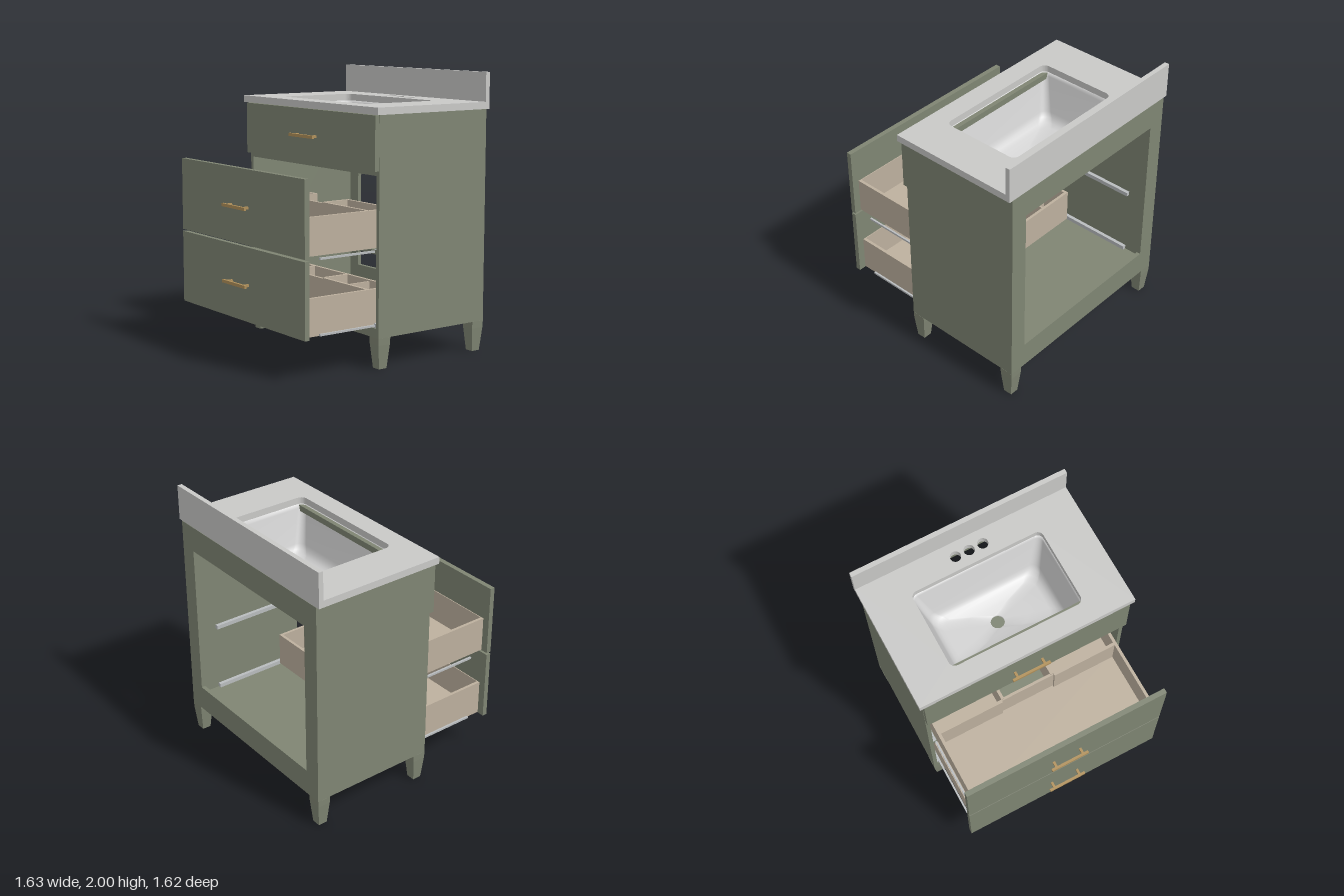
import * as THREE from 'three';

const mat = (name, color, side = THREE.FrontSide) => {
  const m = new THREE.MeshStandardMaterial({ color, side });
  m.name = name;
  return m;
};

// Outline of a rounded rectangle as [x, z] points; equal half sizes and radius give a circle
function roundedLoop(hx, hz, r, steps = 8) {
  const pts = [];
  [[1, 1], [-1, 1], [-1, -1], [1, -1]].forEach(([sx, sz], q) => {
    for (let i = 0; i <= steps; i++) {
      const a = (q + i / steps) * Math.PI / 2;
      pts.push([sx * (hx - r) + r * Math.cos(a), sz * (hz - r) + r * Math.sin(a)]);
    }
  });
  return pts;
}

export function createModel() {
  const model = new THREE.Group();
  model.name = 'vanity';
  const green = mat('sage paint', 0x7f8573);
  const stone = mat('pale stone', 0xc9c9c7);
  const ceramic = mat('white ceramic', 0xd2d2d2, THREE.DoubleSide);
  const wood = mat('pale wood', 0xbdb09e);
  const brass = mat('brass', 0xb0905a);
  const steel = mat('steel', 0xb9bcbe);

  // Box given by its limits on each axis
  const box = (parent, name, m, x0, x1, y0, y1, z0, z1) => {
    const mesh = new THREE.Mesh(new THREE.BoxGeometry(x1 - x0, y1 - y0, z1 - z0), m);
    mesh.position.set((x0 + x1) / 2, (y0 + y1) / 2, (z0 + z1) / 2);
    mesh.name = name;
    parent.add(mesh);
    return mesh;
  };
  const group = (name) => {
    const g = new THREE.Group();
    g.name = name;
    model.add(g);
    return g;
  };

  // Cabinet carcass
  const cabinet = group('cabinet');
  for (const s of [-1, 1]) {
    const span = (a, b) => (s > 0 ? [a, b] : [-b, -a]);
    box(cabinet, 'sidePanel', green, ...span(0.755, 0.785), 0.22, 1.74, -0.81, 0.145);
    box(cabinet, 'backStile', green, ...span(0.655, 0.755), 0.22, 1.74, -0.81, -0.78);
    for (const y of [0.287, 0.8]) {
      box(cabinet, 'drawerSlide', steel, ...span(0.728, 0.755), y, y + 0.03, -0.6, 0.14);
      box(cabinet, 'slideExtension', steel, ...span(0.728, 0.742), y + 0.008, y + 0.022, 0.14, 0.6);
    }
  }
  box(cabinet, 'backTopRail', green, -0.655, 0.655, 1.55, 1.74, -0.81, -0.78);
  box(cabinet, 'backBottomRail', green, -0.655, 0.655, 0.22, 0.41, -0.81, -0.78);
  box(cabinet, 'floorPanel', green, -0.755, 0.755, 0.22, 0.285, -0.78, 0.145);
  box(cabinet, 'frontTopRail', green, -0.755, 0.755, 1.69, 1.735, 0, 0.145);
  box(cabinet, 'upperFrontRail', green, -0.755, 0.755, 1.33, 1.365, 0.03, 0.145);
  box(cabinet, 'middleFrontRail', green, -0.755, 0.755, 0.797, 0.827, 0.03, 0.145);

  // Tapered square legs
  const h = Math.SQRT2;
  const legGeo = new THREE.LatheGeometry([
    [0, 0], [0.033 * h, 0], [0.049 * h, 0.17], [0.051 * h, 0.22], [0, 0.22],
  ].map(([x, y]) => new THREE.Vector2(x, y)), 4).toNonIndexed();
  legGeo.rotateY(Math.PI / 4);
  legGeo.computeVertexNormals();
  for (const x of [-0.735, 0.735]) {
    for (const z of [-0.759, 0.094]) {
      const leg = new THREE.Mesh(legGeo, green);
      leg.name = 'leg';
      leg.position.set(x, 0, z);
      model.add(leg);
    }
  }

  // Countertop with sink cut-out and three tap holes
  const basinZ = -0.2675;
  const top = new THREE.Shape();
  top.moveTo(-0.815, -0.185).lineTo(0.815, -0.185).lineTo(0.815, 0.81).lineTo(-0.815, 0.81).closePath();
  top.holes.push(new THREE.Path(roundedLoop(0.5, 0.3025, 0.045)
    .map(([x, z]) => new THREE.Vector2(x, z - basinZ))));
  for (const x of [-0.105, 0, 0.105]) {
    top.holes.push(new THREE.Path().absarc(x, 0.67, 0.039, 0, Math.PI * 2, true));
  }
  const topGeo = new THREE.ExtrudeGeometry(top, { depth: 0.05, bevelEnabled: false, curveSegments: 24 });
  topGeo.rotateX(-Math.PI / 2);
  const counter = new THREE.Mesh(topGeo, stone);
  counter.name = 'countertop';
  counter.position.y = 1.742;
  model.add(counter);
  box(model, 'backsplash', stone, -0.815, 0.815, 1.792, 2, -0.81, -0.775);

  // Sink bowl: rounded sections from rim to drain [half x, half z, corner radius, y]
  const sections = [
    [0.54, 0.34, 0.07, 1.741], [0.5, 0.3025, 0.045, 1.741], [0.495, 0.297, 0.045, 1.71],
    [0.435, 0.235, 0.06, 1.47], [0.42, 0.22, 0.07, 1.435], [0.395, 0.198, 0.075, 1.41],
    [0.36, 0.165, 0.07, 1.396], [0.2, 0.11, 0.06, 1.378], [0.05, 0.05, 0.05, 1.365], [0.05, 0.05, 0.05, 1.345],
  ];
  const pos = [], idx = [];
  sections.forEach(([hx, hz, r, y]) => roundedLoop(hx, hz, r).forEach(([x, z]) => pos.push(x, y, z)));
  const n = pos.length / 3 / sections.length;
  for (let k = 0; k < sections.length - 1; k++) {
    for (let i = 0; i < n; i++) {
      const a = k * n + i, b = k * n + (i + 1) % n;
      idx.push(a, b, a + n, b, b + n, a + n);
    }
  }
  const bowlGeo = new THREE.BufferGeometry();
  bowlGeo.setAttribute('position', new THREE.Float32BufferAttribute(pos, 3));
  // Reversed so that the inside of the bowl is the front
  for (let i = 0; i < idx.length; i += 3) [idx[i + 1], idx[i + 2]] = [idx[i + 2], idx[i + 1]];
  bowlGeo.setIndex(idx);
  bowlGeo.computeVertexNormals();
  const bowl = new THREE.Mesh(bowlGeo, ceramic);
  bowl.name = 'sinkBowl';
  bowl.position.z = basinZ;
  model.add(bowl);

  // Bar handle on two posts
  const handle = (parent, y, z) => {
    box(parent, 'handleBar', brass, -0.145, 0.145, y - 0.011, y + 0.011, z + 0.04, z + 0.058);
    for (const x of [-0.105, 0.105]) {
      box(parent, 'handlePost', brass, x - 0.009, x + 0.009, y - 0.009, y + 0.009, z, z + 0.042);
    }
  };

  // Fixed top front
  const fixed = group('topFront');
  box(fixed, 'frontPanel', green, -0.783, 0.783, 1.363, 1.738, 0.146, 0.181);
  handle(fixed, 1.548, 0.181);

  // Pulled-out drawers; the upper one has a notch at the back for the pipes
  const back = -0.045, front = 0.714, w = 0.725, t = 0.022, notch = 0.21, cross = 0.195;
  const drawer = (name, y, notched) => {
    const g = group(name);
    const y0 = y + 0.005, y1 = y + 0.265;
    box(g, 'frontPanel', green, -0.78, 0.78, y, y + 0.525, front, 0.751);
    handle(g, y + 0.26, 0.751);
    box(g, 'boxFront', wood, -w + t, w - t, y0, y1, front - 0.006, front);
    box(g, 'bottom', wood, -w + t, w - t, y0, y0 + 0.02, cross - t, front);
    for (const s of [-1, 1]) {
      const span = (a, b) => (s > 0 ? [a, b] : [-b, -a]);
      box(g, 'boxSide', wood, ...span(w - t, w), y0, y1, back, front);
      box(g, 'backDivider', wood, ...span(notch, w - t), y0 + 0.02, y1, cross - t, cross);
      box(g, 'sideBottom', wood, ...span(notch, w - t), y0, y0 + 0.02, back, cross - t);
      box(g, 'notchSide', wood, ...span(notch - t, notch), y0, y1, back, cross - t);
      box(g, 'boxBack', wood, ...span(notch, w - t), y0, y1, back, back + t);
      if (!notched) box(g, 'divider', wood, ...span(0.45, 0.465), y0 + 0.02, y1 - 0.01, back + t, cross - t);
    }
    box(g, 'middleDivider', wood, -notch, notch, y0, y1 - 0.01, cross - t - 0.012, cross - 0.014);
    if (!notched) {
      box(g, 'middleBottom', wood, -notch + t, notch - t, y0, y0 + 0.02, back, cross - t);
      box(g, 'middleBack', wood, -notch + t, notch - t, y0, y1, back, back + t);
    }
  };
  drawer('upperDrawer', 0.83, true);
  drawer('lowerDrawer', 0.29, false);

  return model;
}
